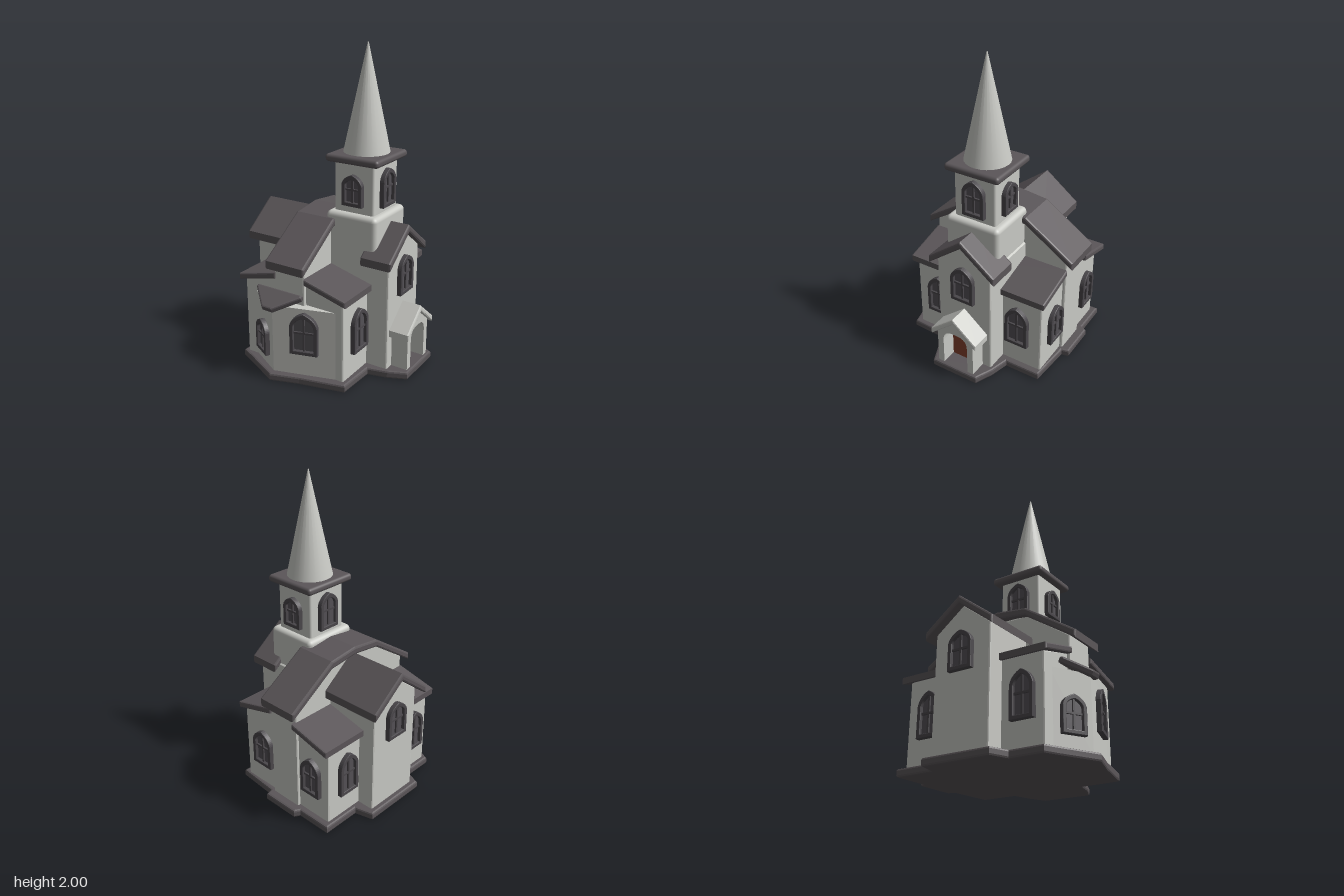
import * as THREE from 'three';
import { RoundedBoxGeometry } from 'three/addons/geometries/RoundedBoxGeometry.js';

const mat = (name, color) => {
  const m = new THREE.MeshStandardMaterial({ color });
  m.name = name;
  return m;
};

export function createModel() {
  const church = new THREE.Group();
  church.name = 'church';
  const wall = mat('white plaster', 0xc9cac5);
  const slate = mat('grey slate', 0x5b5659);
  const frameMat = mat('window frame', 0x4a474b);
  const paneMat = mat('window pane', 0x545156);
  const wood = mat('door wood', 0x84412c);
  const CZ = -0.04; // centre line of nave and porch

  const add = (geo, material, name, parent = church) => {
    const m = new THREE.Mesh(geo, material);
    m.name = name;
    parent.add(m);
    return m;
  };
  const poly = pts => new THREE.Shape(pts.map(p => new THREE.Vector2(p[0], p[1])));

  // extrude a shape with softened edges that stay inside its outline
  const extrude = (shape, depth, r) => {
    const g = new THREE.ExtrudeGeometry(shape, {
      depth: depth - 2 * r, bevelEnabled: r > 0, bevelSize: r, bevelThickness: r,
      bevelOffset: -r, bevelSegments: 2, curveSegments: 10,
    });
    return g.translate(0, 0, r);
  };
  // extrude between a and b, along x (profile centred on the nave) or along z
  const along = (axis, shape, a, b, r) => {
    const g = extrude(shape, b - a, r).translate(0, 0, a);
    return axis === 'x' ? g.rotateY(Math.PI / 2).translate(0, 0, CZ) : g;
  };
  // upright prism from an (x, z) floor outline
  const upright = (pts, y, h, r) =>
    extrude(poly(pts.map(([x, z]) => [x, -z])), h, r).rotateX(-Math.PI / 2).translate(0, y, 0);
  const roof = (top, t) => poly([...top, ...top.map(([u, y]) => [u, y - t]).reverse()]);
  const mirror = half => [...half.map(([u, y]) => [-u, y]), ...half.slice(0, -1).reverse()];
  const box = (x0, x1, y0, y1, z0, z1, r) =>
    new RoundedBoxGeometry(x1 - x0, y1 - y0, z1 - z0, 3, r)
      .translate((x0 + x1) / 2, (y0 + y1) / 2, (z0 + z1) / 2);

  // foundation
  add(upright([
    [-0.565, 0.18], [-0.45, 0.22], [-0.45, 0.43], [-0.36, 0.47], [-0.13, 0.58], [0.05, 0.52],
    [0.33, 0.45], [0.34, 0.2], [0.46, 0.17], [0.575, 0.12], [0.575, -0.2], [0.46, -0.25],
    [0.34, -0.28], [0.34, -0.51], [0.06, -0.53], [0.05, -0.575], [-0.2, -0.575], [-0.22, -0.54],
    [-0.45, -0.54], [-0.45, -0.29], [-0.565, -0.26],
  ], 0, 0.05, 0.012), slate, 'foundation');

  // lower side rooms and their sloping roofs
  add(along('z', poly([[-0.42, 0.03], [0.3, 0.03], [0.3, 0.56], [0.04, 0.63], [-0.18, 0.63], [-0.42, 0.56]]),
    -0.5, 0.42, 0.01), wall, 'lowerWalls');
  add(along('z', roof([[-0.45, 0.59], [-0.17, 0.66]], 0.04), -0.55, 0.45, 0.01), slate, 'lowerRoofRight');
  add(along('z', roof([[0.04, 0.665], [0.33, 0.59]], 0.04), -0.53, 0.45, 0.01), slate, 'lowerRoofLeft');

  // nave
  add(along('x', poly([[-0.19, 0.03], [0.19, 0.03], [0.19, 0.76], [0, 0.905], [-0.19, 0.76]]),
    -0.53, 0.445, 0.01), wall, 'naveWalls');
  const naveTop = roof(mirror([[0.232, 0.768], [0, 0.945]]), 0.05);
  add(along('x', naveTop, -0.58, -0.1, 0.012), slate, 'naveRoofBack');
  add(along('x', naveTop, 0.27, 0.48, 0.012), slate, 'naveRoofFront');

  // tall cross block with its wide bent roof
  add(along('x', poly([[-0.48, 0.03], [0.48, 0.03], [0.48, 0.735], [0.2, 0.925], [-0.2, 0.925], [-0.48, 0.735]]),
    -0.18, 0.04, 0.01), wall, 'crossWalls');
  add(along('x', roof(mirror([[0.53, 0.745], [0.2, 0.962], [0, 0.985]]), 0.05),
    -0.21, 0.07, 0.012), slate, 'crossRoof');

  // angled front bay with awning
  add(upright([[-0.36, 0.41], [-0.13, 0.535], [0.28, 0.41]], 0.03, 0.46, 0), wall, 'bayWalls');
  add(extrude(poly([[-0.165, 0], [-0.165, -0.02], [-0.04, -0.15], [0.03, -0.15], [0.165, -0.02], [0.165, 0]]), 0.04, 0.01)
    .rotateX(-Math.PI / 2).rotateX(0.48).translate(-0.135, 0.525, 0.43), slate, 'bayAwning');

  // tower and spire
  add(box(0.0, 0.35, 0.5, 1.005, -0.22, 0.15, 0.03), wall, 'towerBase');
  add(box(0.035, 0.31, 0.95, 1.34, -0.18, 0.105, 0.015), wall, 'belfry');
  add(box(-0.008, 0.355, 1.308, 1.355, -0.225, 0.147, 0.02), slate, 'belfryCornice');
  add(new THREE.CylinderGeometry(0.003, 0.143, 0.65, 24).translate(0.173, 1.675, -0.042), wall, 'spire');

  // pointed outline shared by window frames and panes
  const pointed = (w, h, inset = 0, S = THREE.Shape) => {
    const s = new S();
    const x = w / 2 - inset, b = inset, t = h - inset * 1.2, k = h * 0.68;
    s.moveTo(-x, b);
    s.lineTo(x, b);
    s.lineTo(x, k);
    s.quadraticCurveTo(x * 0.85, t - (t - k) * 0.3, 0, t);
    s.quadraticCurveTo(-x * 0.85, t - (t - k) * 0.3, -x, k);
    s.closePath();
    return s;
  };
  const addWindow = (name, x, y, z, turn, w, h) => {
    const g = new THREE.Group();
    g.name = name;
    const ring = pointed(w, h);
    ring.holes.push(pointed(w, h, 0.024, THREE.Path));
    add(extrude(ring, 0.034, 0.004).translate(0, 0, -0.004), frameMat, 'frame', g);
    add(extrude(pointed(w, h, 0.012), 0.009, 0), paneMat, 'pane', g);
    add(new THREE.BoxGeometry(0.012, h * 0.85, 0.02).translate(0, h * 0.48, 0.01), frameMat, 'mullion', g);
    add(new THREE.BoxGeometry(w * 0.8, 0.012, 0.02).translate(0, h * 0.52, 0.01), frameMat, 'crossbar', g);
    g.position.set(x, y, z);
    g.rotation.y = turn;
    church.add(g);
  };
  const Q = Math.PI / 2;
  [
    ['bayWindowRight', -0.24, 0.13, 0.476, -0.5, 0.15, 0.22],
    ['bayWindowLeft', 0.065, 0.2, 0.477, 0.295, 0.175, 0.27],
    ['sideWindowFront', 0.3, 0.2, 0.255, Q, 0.16, 0.275],
    ['sideWindowBack', 0.3, 0.2, -0.335, Q, 0.16, 0.275],
    ['farWindowFront', -0.42, 0.2, 0.29, -Q, 0.15, 0.275],
    ['farWindowBack', -0.42, 0.2, -0.34, -Q, 0.15, 0.275],
    ['rearWindowLeft', 0.135, 0.2, -0.5, Math.PI, 0.16, 0.25],
    ['rearWindowRight', -0.29, 0.2, -0.5, Math.PI, 0.15, 0.25],
    ['gableWindowFront', 0.445, 0.505, CZ, Q, 0.16, 0.245],
    ['gableWindowBack', -0.53, 0.505, CZ, -Q, 0.16, 0.235],
    ['belfryWindowFront', 0.173, 1.05, 0.105, 0, 0.14, 0.195],
    ['belfryWindowRear', 0.173, 1.05, -0.18, Math.PI, 0.14, 0.195],
    ['belfryWindowDoorSide', 0.31, 1.04, CZ, Q, 0.15, 0.235],
    ['belfryWindowFarSide', 0.035, 1.04, CZ, -Q, 0.15, 0.235],
  ].forEach(a => addWindow(...a));

  // porch with arched opening, gabled hood and recessed door
  const arch = (w, y0, k, top, S) => {
    const s = new S();
    s.moveTo(-w, y0);
    s.lineTo(w, y0);
    s.lineTo(w, k);
    s.bezierCurveTo(w, top, w * 0.4, top, 0, top);
    s.bezierCurveTo(-w * 0.4, top, -w, top, -w, k);
    s.closePath();
    return s;
  };
  const porch = poly([[-0.13, 0.03], [0.13, 0.03], [0.13, 0.3], [0, 0.4], [-0.13, 0.3]]);
  porch.holes.push(arch(0.088, 0.045, 0.23, 0.305, THREE.Path));
  add(along('x', porch, 0.43, 0.555, 0), wall, 'porchWalls');
  add(along('x', roof(mirror([[0.165, 0.305], [0, 0.44]]), 0.042), 0.43, 0.577, 0.01), wall, 'porchRoof');
  add(along('x', arch(0.092, 0.04, 0.235, 0.31, THREE.Shape), 0.445, 0.454, 0), wood, 'door');

  return church;
}
